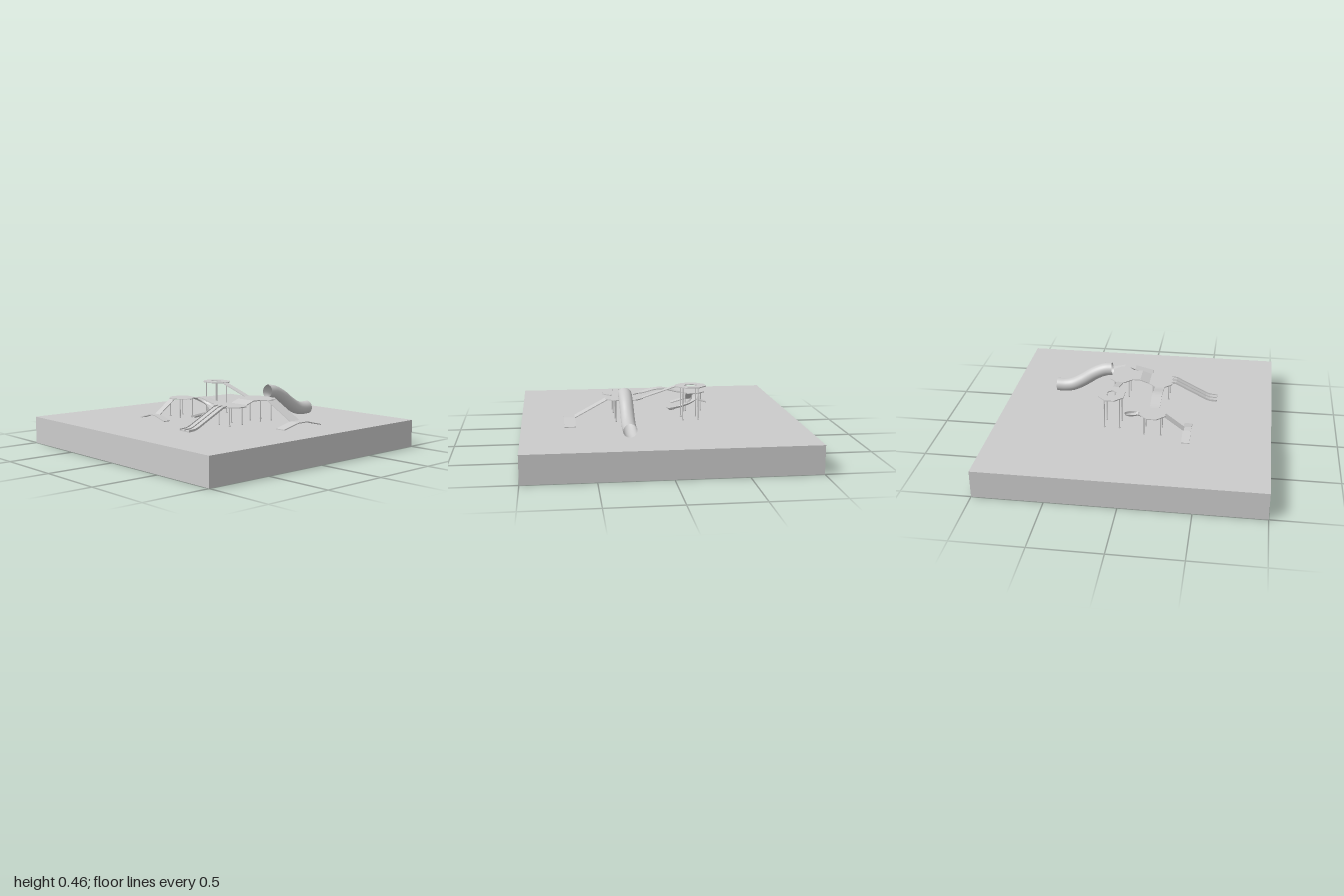
import * as THREE from 'three';

const mat = new THREE.MeshStandardMaterial({ color: 0xcccccc, side: THREE.DoubleSide });
const flat = new THREE.MeshStandardMaterial({ color: 0xcccccc, side: THREE.DoubleSide, flatShading: true });
const T = 0.007; // deck thickness

export function createModel() {
  const root = new THREE.Group();
  const add = (name, geo, m = flat) => {
    const mesh = new THREE.Mesh(geo, m);
    mesh.name = name;
    root.add(mesh);
    return mesh;
  };

  // Flat deck with chamfered corners, optionally with a hole
  const deck = (name, x0, x1, z0, z1, top, c, hole) => {
    const outline = (a, b, d, e, k) => [[a + k, d], [b - k, d], [b, d + k], [b, e - k],
      [b - k, e], [a + k, e], [a, e - k], [a, d + k]].map(p => new THREE.Vector2(...p));
    const shape = new THREE.Shape(outline(x0, x1, z0, z1, c));
    if (hole) shape.holes.push(new THREE.Path(outline(...hole)));
    const geo = new THREE.ExtrudeGeometry(shape, { depth: T, bevelEnabled: false });
    geo.rotateX(Math.PI / 2).translate(0, top, 0);
    add(name, geo);
  };

  // Strip following a side profile of [distance, top height], running along x or z
  const strip = (name, axis, pts, w0, w1, t = T) => {
    const low = pts.map(([u, y]) => [u, y - t]).reverse();
    const shape = new THREE.Shape([...pts, ...low].map(p => new THREE.Vector2(...p)));
    const geo = new THREE.ExtrudeGeometry(shape, { depth: w1 - w0, bevelEnabled: false });
    if (axis === 'x') geo.translate(0, 0, w0);
    else geo.rotateY(-Math.PI / 2).translate(w1, 0, 0);
    add(name, geo);
  };

  // Posts with small feet
  const posts = (name, top, spots) => {
    const g = new THREE.Group();
    g.name = name;
    for (const [x, z] of spots) {
      const post = new THREE.Mesh(new THREE.CylinderGeometry(0.004, 0.004, top - 0.2, 8), mat);
      post.position.set(x, (top + 0.2) / 2, z);
      const foot = new THREE.Mesh(new THREE.CylinderGeometry(0.006, 0.007, 0.008, 8), mat);
      foot.position.set(x, 0.204, z);
      g.add(post, foot);
    }
    root.add(g);
  };

  add('ground', new THREE.BoxGeometry(2, 0.2, 2).translate(0, 0.1, 0));

  // Decks
  deck('highDeck', -0.34, -0.12, -0.245, -0.06, 0.45, 0.06, [-0.28, -0.185, -0.185, -0.12, 0.022]);
  deck('leftDeck', -0.38, -0.2, 0.06, 0.245, 0.344, 0.058);
  deck('frontDeck', 0.125, 0.395, 0.065, 0.245, 0.344, 0.058);
  deck('backDeck', 0.12, 0.39, -0.23, -0.06, 0.368, 0.055);

  // Posts under the decks
  const quad = (x0, x1, z0, z1) => [[x0, z0], [x1, z0], [x0, z1], [x1, z1]];
  posts('highDeckPosts', 0.445, quad(-0.28, -0.168, -0.2, -0.09));
  posts('leftDeckPosts', 0.34, quad(-0.347, -0.23, 0.095, 0.215));
  posts('frontDeckPosts', 0.34, quad(0.21, 0.32, 0.095, 0.215));
  posts('backDeckPosts', 0.364, quad(0.21, 0.32, -0.2, -0.09));

  // Walkways between the decks
  strip('deckLink', 'z', [[-0.07, 0.368], [0, 0.368], [0.07, 0.344]], 0.18, 0.34);
  strip('slopingBridge', 'x', [[-0.13, 0.45], [0.125, 0.368]], -0.165, -0.12);
  const arch = Array.from({ length: 17 }, (_, i) => {
    const t = i / 16;
    return [-0.21 + 0.345 * t, 0.344 + 0.03 * Math.sin(Math.PI * t) ** 2];
  });
  strip('archedBridge', 'x', arch, 0.12, 0.192);

  // Ramps down to low arched strips on the ground
  strip('sideRamp', 'x', [[0.38, 0.368], [0.62, 0.238]], -0.19, -0.098);
  strip('sideLanding', 'z', [[-0.33, 0.206], [-0.19, 0.24], [-0.098, 0.24], [0.045, 0.206]], 0.615, 0.695);
  strip('frontRamp', 'z', [[0.235, 0.344], [0.38, 0.238]], -0.322, -0.268);
  strip('frontLanding', 'x', [[-0.44, 0.206], [-0.322, 0.238], [-0.268, 0.238], [-0.155, 0.206]], 0.372, 0.43);

  // Double slide with rims and a divider
  const slide = [[0.235, 0.342], [0.27, 0.338], [0.5, 0.222], [0.53, 0.212], [0.585, 0.208]];
  strip('doubleSlide', 'z', slide, 0.215, 0.315);
  for (const x of [0.215, 0.262, 0.31])
    strip('slideRim', 'z', slide.map(([z, y]) => [z, y + 0.008]), x, x + 0.005, 0.012);

  // Open tube slide
  const path = new THREE.CatmullRomCurve3([[-0.225, 0.41], [-0.28, 0.402], [-0.36, 0.366],
    [-0.45, 0.305], [-0.53, 0.262], [-0.59, 0.25], [-0.66, 0.25]]
    .map(([z, y]) => new THREE.Vector3(0.258, y, z)));
  for (const r of [0.049, 0.046])
    add('tubeSlide', new THREE.TubeGeometry(path, 48, r, 28), mat);

  // Curved chute: a trough section swept around a half turn
  const route = [];
  for (let i = 0; i <= 28; i++) {
    const a = Math.PI * (1 - i / 24);
    const s = i / 28;
    const y = 0.208 + 0.118 * (1 - s) ** 1.1;
    if (i <= 24) route.push([-0.205 + 0.087 * Math.cos(a), y, 0.045 - 0.085 * Math.sin(a), a]);
    else route.push([-0.118, y, 0.045 + (i - 24) * 0.035, 0]);
  }
  const section = [[-0.024, 0.014], [-0.016, 0.001], [0.016, 0.001], [0.024, 0.014]];
  const pos = [], index = [];
  route.forEach(([x, y, z, a], i) => {
    for (const [w, h] of section) pos.push(x + w * Math.cos(a), y + h, z - w * Math.sin(a));
    if (i) for (let k = 0; k < 3; k++) {
      const p = (i - 1) * 4 + k, q = p + 4;
      index.push(p, p + 1, q, p + 1, q + 1, q);
    }
  });
  const chute = new THREE.BufferGeometry();
  chute.setAttribute('position', new THREE.Float32BufferAttribute(pos, 3));
  chute.setIndex(index);
  chute.computeVertexNormals();
  add('curvedChute', chute);

  return root;
}
